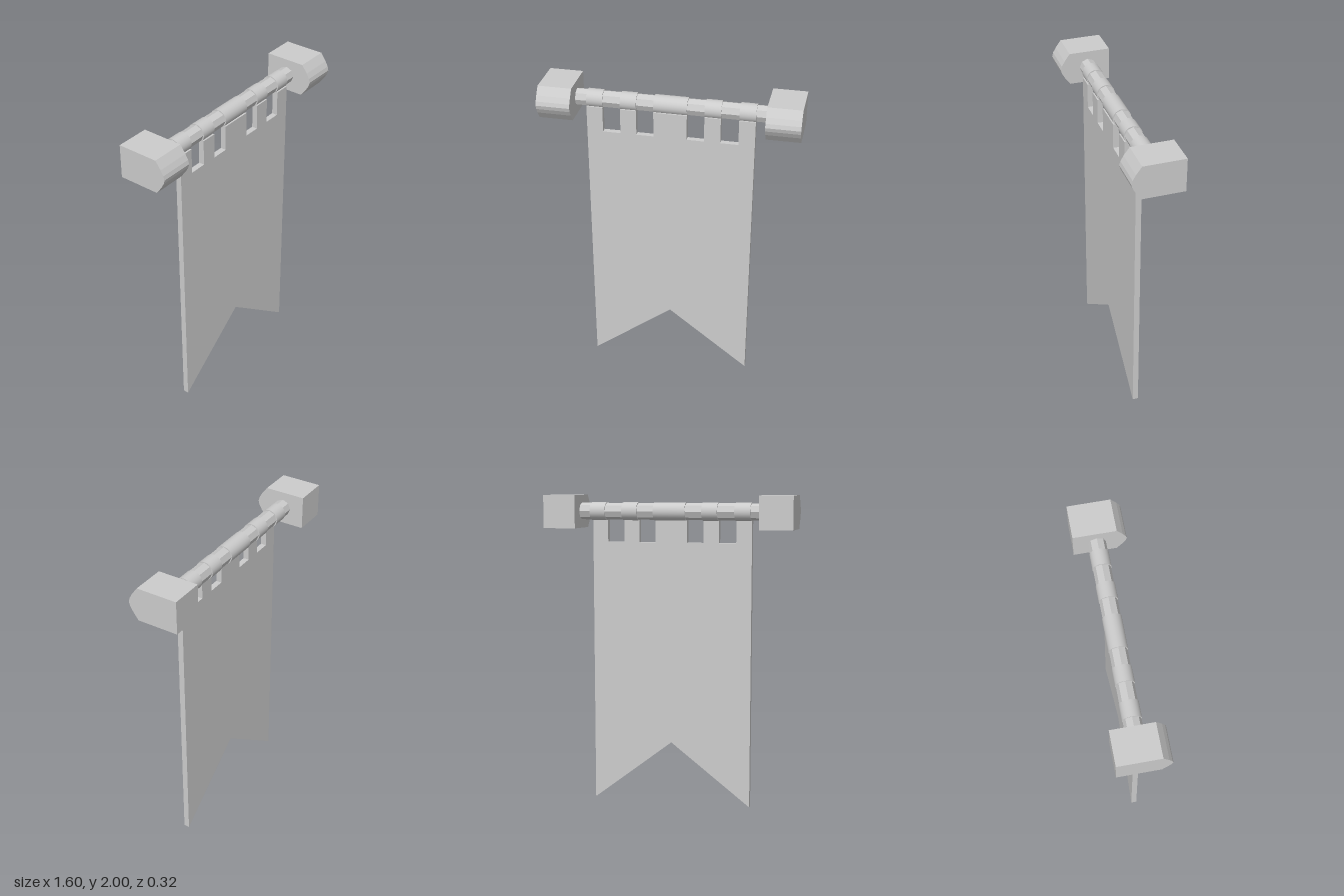
import * as THREE from 'three';

export function createModel() {
  const model = new THREE.Group();
  const facetedGrey = new THREE.MeshStandardMaterial({ color: 0xcccccc });
  facetedGrey.name = 'grey';
  const rodY = 1.897, rodZ = -0.018;

  function add(name, geometry, x = 0, y = 0, z = 0) {
    const mesh = new THREE.Mesh(geometry, facetedGrey);
    mesh.name = name;
    mesh.position.set(x, y, z);
    model.add(mesh);
    return mesh;
  }

  // Flat-faced octagonal rod with a corner on top
  const rod = new THREE.CylinderGeometry(0.053, 0.053, 1.2, 8).rotateZ(Math.PI / 2).toNonIndexed();
  rod.computeVertexNormals();
  add('rod', rod, 0, rodY, rodZ);

  // Cloth loops around the rod, one above each tab: [centre, width]
  const tabs = [[-0.47, 0.1], [-0.26, 0.1], [0, 0.206], [0.26, 0.1], [0.47, 0.1]];
  for (const [x, width] of tabs) {
    const loop = new THREE.CylinderGeometry(0.057, 0.057, width, 24).rotateZ(Math.PI / 2);
    add('clothLoop', loop, x, rodY, rodZ);
  }

  // Banner cloth with a swallowtail below and tabs above
  const tabTop = 1.86, slotBottom = 1.7;
  const cloth = new THREE.Shape();
  cloth.moveTo(-0.52, 0);
  cloth.lineTo(0, 0.4);
  cloth.lineTo(0.52, 0);
  for (const [x, width] of [...tabs].reverse()) {
    const right = x + width / 2, left = x - width / 2;
    if (right < 0.5) cloth.lineTo(right, slotBottom);
    cloth.lineTo(right, tabTop);
    cloth.lineTo(left, tabTop);
    if (left > -0.5) cloth.lineTo(left, slotBottom);
  }
  cloth.closePath();
  add('bannerCloth', new THREE.ExtrudeGeometry(cloth, { depth: 0.036, bevelEnabled: false }));

  // End blocks: side profile (z, y) with a faceted nose at the front
  const profile = new THREE.Shape([
    [-0.16, 1.79], [0.1, 1.79], [0.135, 1.838], [0.153, 1.87], [0.16, 1.895],
    [0.153, 1.92], [0.135, 1.952], [0.1, 2], [-0.16, 2],
  ].map(([z, y]) => new THREE.Vector2(-z, y)));
  for (const [side, name] of [[-1, 'rightEndBlock'], [1, 'leftEndBlock']]) {
    const block = new THREE.ExtrudeGeometry(profile, { depth: 0.21, bevelEnabled: false });
    block.translate(0, 0, -0.105).rotateY(Math.PI / 2);
    add(name, block, side * 0.695);
  }
  return model;
}
